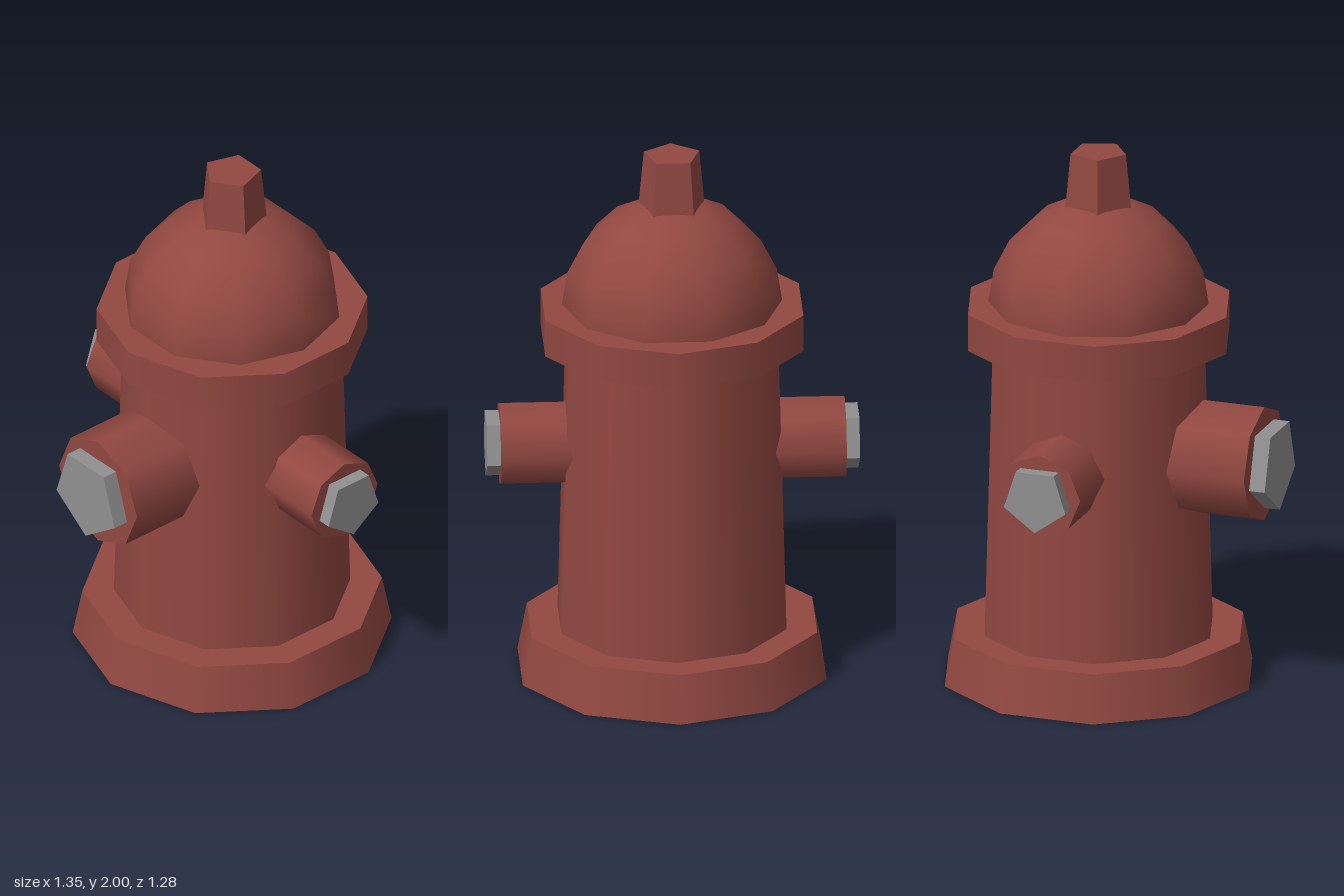
import * as THREE from 'three';

export function createModel() {
  const red = new THREE.MeshStandardMaterial({ color: 0x924841 });
  red.name = 'hydrant red';
  const redFlat = red.clone(); // same colour, faceted
  redFlat.name = 'hydrant red faceted';
  redFlat.flatShading = true;
  const grey = new THREE.MeshStandardMaterial({ color: 0x909090, flatShading: true });
  grey.name = 'cap grey';

  const model = new THREE.Group();
  model.name = 'fireHydrant';
  const axisZ = -0.06; // the barrel sits slightly back to balance the front outlet

  const add = (parent, name, geometry, material) => {
    const mesh = new THREE.Mesh(geometry, material);
    mesh.name = name;
    parent.add(mesh);
    return mesh;
  };

  // Upright cylinder between two heights
  const upright = (name, rBottom, rTop, y0, y1, sides = 10, material = red) =>
    add(model, name, new THREE.CylinderGeometry(rTop, rBottom, y1 - y0, sides), material)
      .position.set(0, (y0 + y1) / 2, axisZ);

  upright('base', 0.58, 0.545, 0, 0.18);
  upright('barrel', 0.43, 0.4, 0.18, 1.28);
  upright('collar', 0.493, 0.493, 1.28, 1.42);
  upright('topNut', 0.126, 0.106, 1.79, 2, 5, redFlat);

  // Domed bonnet
  add(model, 'bonnet',
    new THREE.SphereGeometry(0.4, 10, 5, 0, Math.PI * 2, 0, Math.PI / 2), red)
    .position.set(0, 1.42, axisZ);

  // Outlet: octagonal pipe with a pentagonal nut, pointing along +z before turning
  const outlet = (name, angle, y, radius, reach, nutRadius, nutDepth) => {
    const group = new THREE.Group();
    group.name = name;
    const inner = 0.2;
    const pipe = new THREE.CylinderGeometry(radius, radius, reach - inner, 8);
    pipe.rotateX(Math.PI / 2).translate(0, 0, (reach + inner) / 2);
    add(group, name + 'Pipe', pipe, red);
    const nut = new THREE.CylinderGeometry(nutRadius, nutRadius, nutDepth, 5);
    nut.rotateX(Math.PI / 2).translate(0, 0, reach + nutDepth / 2);
    add(group, name + 'Nut', nut, grey);
    group.position.set(0, y, axisZ);
    group.rotation.y = angle;
    model.add(group);
  };

  outlet('frontOutlet', 0, 0.877, 0.217, 0.64, 0.17, 0.06);
  outlet('leftOutlet', Math.PI / 2, 0.879, 0.158, 0.627, 0.125, 0.05);
  outlet('rightOutlet', -Math.PI / 2, 0.879, 0.158, 0.627, 0.125, 0.05);

  return model;
}
